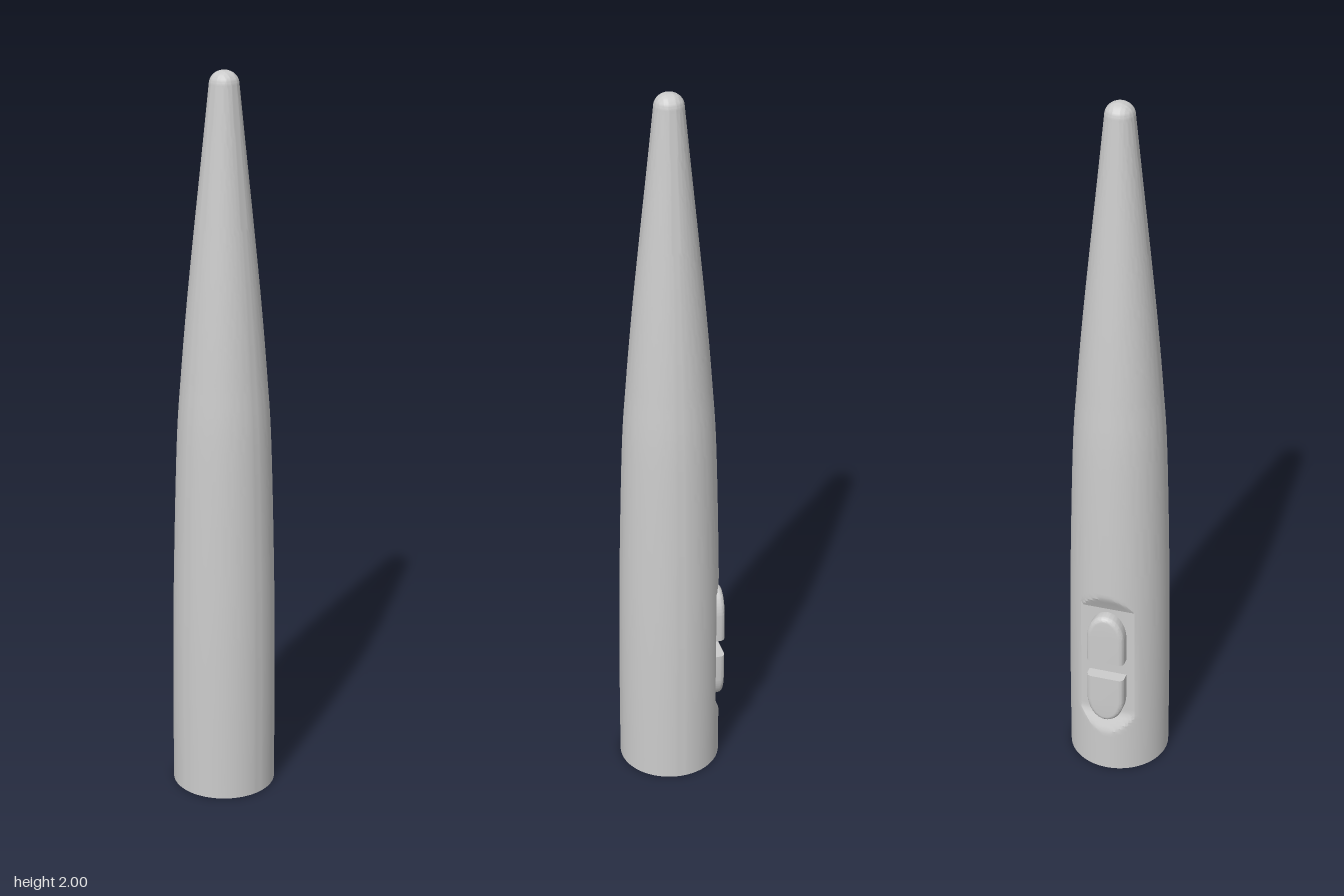
import * as THREE from 'three';
import { toCreasedNormals } from 'three/addons/utils/BufferGeometryUtils.js';

const AXIS_X = 0.003;      // the buttons stick out, so the body axis sits slightly off centre
const FLOOR = 0.116;       // distance of the recess floor from the body axis
const SPLIT_Y = 0.358;     // middle of the gap between the buttons

// Distance from the axis at which the -x side is cut away, at height y
function cutDistance(y) {
  const lower = THREE.MathUtils.mapLinear(y, 0.13, 0.19, 0.142, FLOOR);
  const upper = THREE.MathUtils.mapLinear(y, 0.55, 0.595, FLOOR, 0.137);
  return Math.max(FLOOR, lower, upper);
}

// Tapering turned body with a rounded tip and a flat-floored recess
function makeBody() {
  const side = new THREE.SplineCurve([
    [0.142, 0], [0.1415, 0.3], [0.138, 0.6], [0.127, 1.0], [0.114, 1.2],
    [0.097, 1.4], [0.077, 1.6], [0.056, 1.8], [0.039, 1.965],
  ].map(([r, y]) => new THREE.Vector2(r, y)));
  const profile = [new THREE.Vector2(0, 0), ...side.getSpacedPoints(190)];
  for (let i = 1; i <= 10; i++) {
    const a = (i / 10) * Math.PI / 2;
    profile.push(new THREE.Vector2(i === 10 ? 0 : 0.039 * Math.cos(a), 1.965 + 0.035 * Math.sin(a)));
  }
  const geometry = new THREE.LatheGeometry(profile, 96);
  const p = geometry.attributes.position;
  for (let i = 0; i < p.count; i++) {
    p.setX(i, Math.max(p.getX(i), -cutDistance(p.getY(i))));
  }
  return toCreasedNormals(geometry, 0.35);
}

// Half-stadium button: rounded outer end and edges, square at the split
function makeButton() {
  const bevel = 0.014, w = 0.054 - bevel, start = 0.027, shoulder = 0.1;
  const shape = new THREE.Shape();
  shape.moveTo(-w, start - 0.03);
  shape.lineTo(w, start - 0.03);
  shape.lineTo(w, shoulder);
  shape.absellipse(0, shoulder, w, 0.18 - bevel - shoulder, 0, Math.PI, false);
  shape.closePath();
  const geometry = new THREE.ExtrudeGeometry(shape, {
    depth: 0.03, bevelSize: bevel, bevelThickness: bevel, bevelSegments: 5, curveSegments: 24,
  });
  const p = geometry.attributes.position;
  for (let i = 0; i < p.count; i++) p.setY(i, Math.max(p.getY(i), start));
  geometry.translate(0, 0, 0.1505 - 0.03 - bevel);
  geometry.rotateY(-Math.PI / 2);
  return toCreasedNormals(geometry, 0.6);
}

export function createModel() {
  const material = new THREE.MeshStandardMaterial({ color: 0xcccccc });
  const model = new THREE.Group();
  model.name = 'taperedHandheldDevice';

  const body = new THREE.Mesh(makeBody(), material);
  body.name = 'body';
  body.position.x = AXIS_X;
  model.add(body);

  // Two buttons, the lower one turned half a revolution
  const buttonGeometry = makeButton();
  ['upperButton', 'lowerButton'].forEach((name, i) => {
    const button = new THREE.Mesh(buttonGeometry, material);
    button.name = name;
    button.position.set(AXIS_X, SPLIT_Y, 0);
    button.rotation.x = i * Math.PI;
    model.add(button);
  });
  return model;
}
